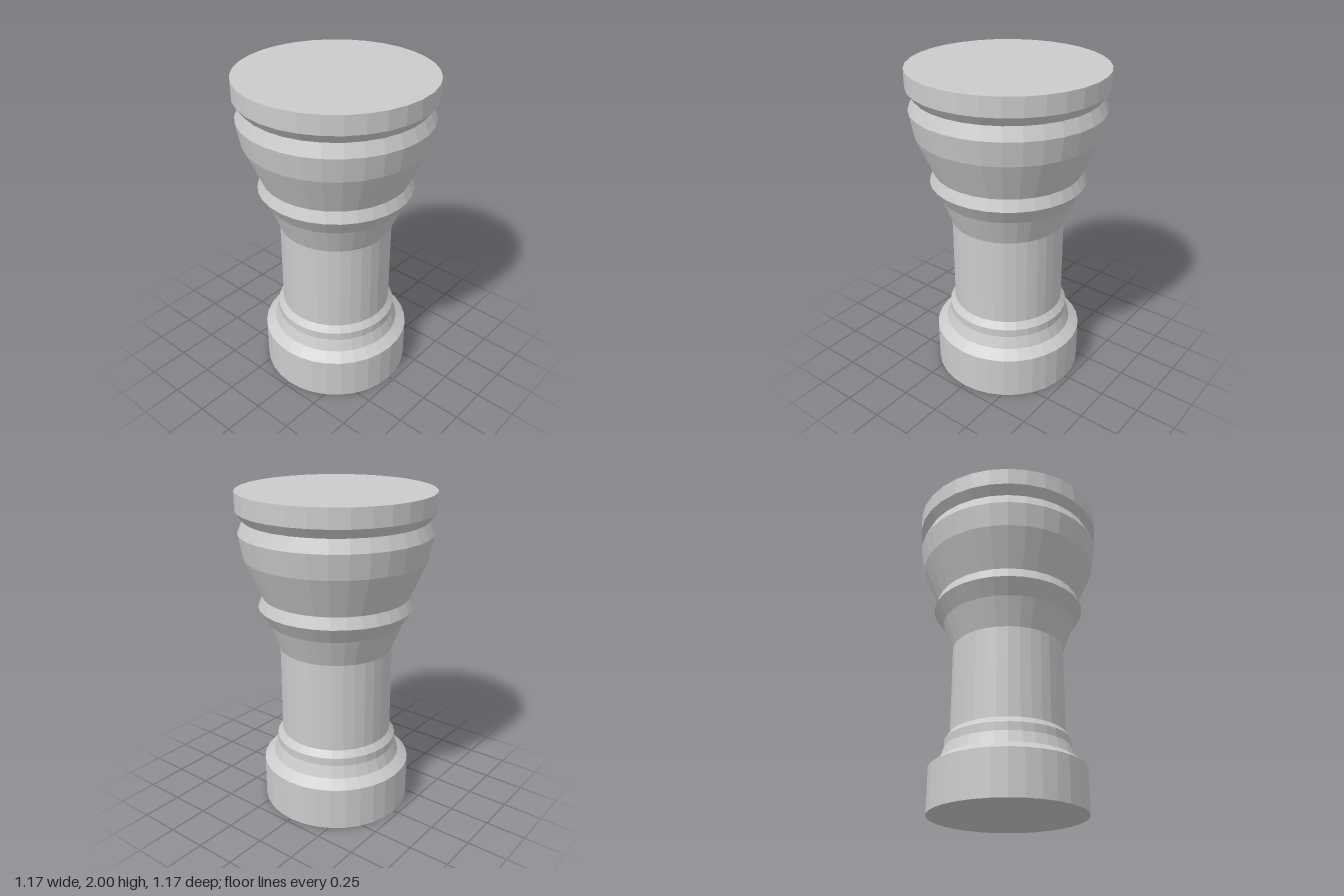
import * as THREE from 'three';

const SIDES = 32;
const material = new THREE.MeshStandardMaterial({ color: 0xcccccc, flatShading: true });

// Turned section from [radius, height] pairs, listed bottom to top
function turned(name, profile) {
  const points = profile.map(([r, y]) => new THREE.Vector2(r, y));
  const mesh = new THREE.Mesh(new THREE.LatheGeometry(points, SIDES), material);
  mesh.name = name;
  return mesh;
}

export function createModel() {
  const group = new THREE.Group();
  group.name = 'pedestal';
  group.add(
    // Plinth with closed underside and sloping shoulder
    turned('plinth', [[0, 0], [0.468, 0], [0.468, 0.27], [0.405, 0.317]]),
    // Moulding between plinth and shaft
    turned('baseMoulding', [[0.405, 0.317], [0.379, 0.39], [0.379, 0.44], [0.347, 0.48]]),
    turned('shaft', [[0.347, 0.48], [0.347, 1.04]]),
    // Flared collar with a sharp ring
    turned('collar', [[0.347, 1.04], [0.413, 1.21], [0.473, 1.305], [0.447, 1.373]]),
    // Swelling capital, drawn in under the top slab
    turned('capital', [[0.447, 1.373], [0.55, 1.61], [0.577, 1.757], [0.545, 1.833]]),
    turned('topSlab', [[0.545, 1.833], [0.586, 1.888], [0.586, 2], [0, 2]]),
  );
  return group;
}
